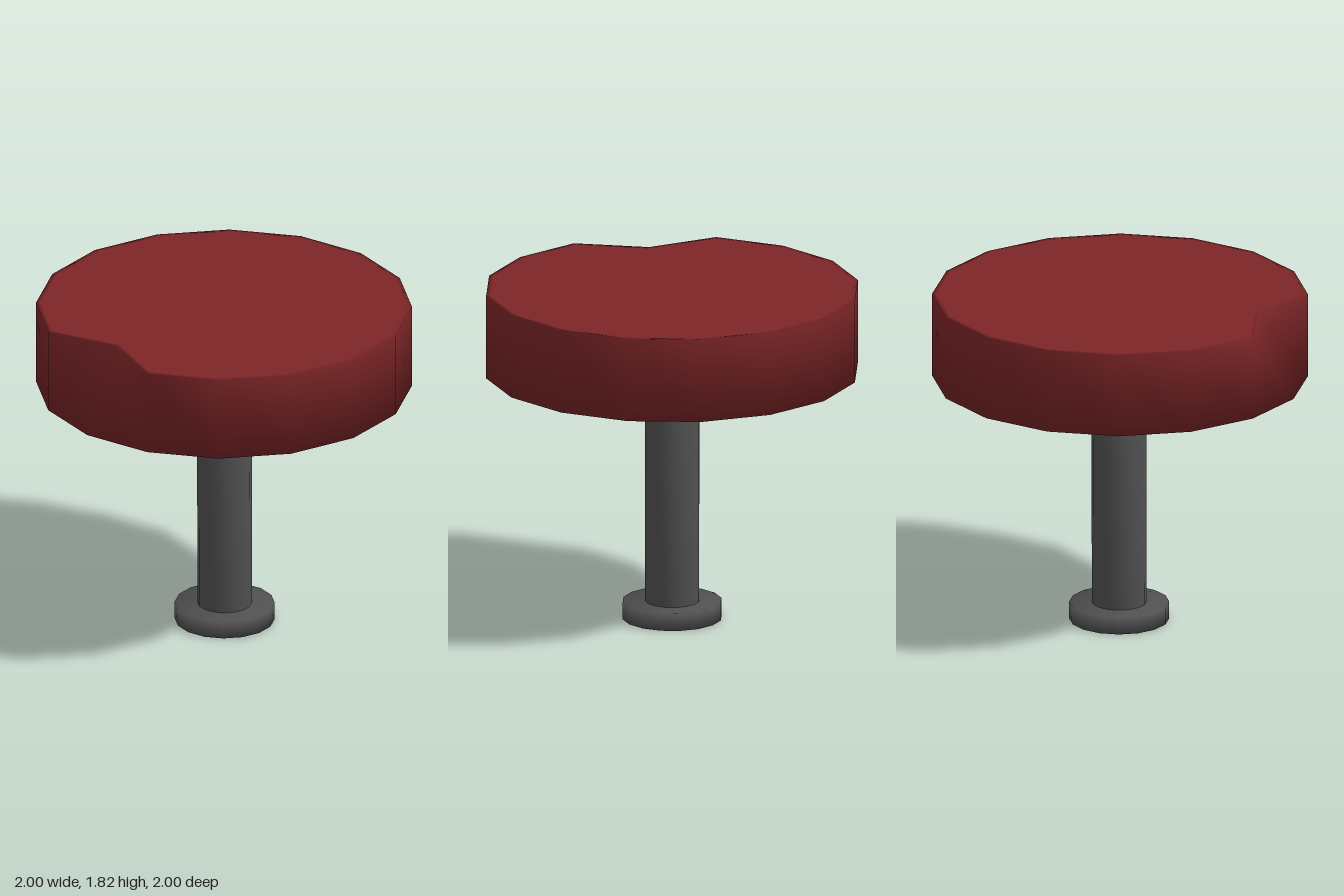
import * as THREE from 'three';
import { mergeVertices } from 'three/addons/utils/BufferGeometryUtils.js';

const SIDES = 16;

// Turned solid with shared vertices, so shading flows over its edges
function turned(profile, reshape) {
  const geo = new THREE.LatheGeometry(profile.map(([r, y]) => new THREE.Vector2(r, y)), SIDES);
  geo.deleteAttribute('uv');
  geo.deleteAttribute('normal');
  if (reshape) reshape(geo.attributes.position);
  const merged = mergeVertices(geo, 1e-4);
  merged.computeVertexNormals();
  return merged;
}

// Push the upper rim corner on the -x side inward
function dentRim(pos) {
  for (let i = 0; i < pos.count; i++) {
    const x = pos.getX(i);
    if (x < -0.95 && Math.abs(pos.getZ(i)) < 0.01 && pos.getY(i) > 1.8) pos.setX(i, x + 0.21);
  }
}

export function createModel() {
  const group = new THREE.Group();
  const red = new THREE.MeshStandardMaterial({ color: 0x7c2527 });
  red.name = 'dark red upholstery';
  const grey = new THREE.MeshStandardMaterial({ color: 0x505050 });
  grey.name = 'dark grey metal';

  const add = (name, geo, mat, x = 0) => {
    const mesh = new THREE.Mesh(geo, mat);
    mesh.name = name;
    mesh.position.x = x;
    group.add(mesh);
  };

  // Round seat with a slightly hollow underside and a thin rim on top
  add('seat', turned([[0, 1.45], [1, 1.365], [1, 1.82], [0.975, 1.82], [0, 1.82]], dentRim), red);

  // Post between foot and seat
  add('post', turned([[0, 0.05], [0.145, 0.05], [0.147, 1.46], [0, 1.46]]), grey, 0.005);

  // Small round foot
  add('foot', turned([[0, 0], [0.266, 0], [0.266, 0.095], [0, 0.095]]), grey, 0.005);

  return group;
}
